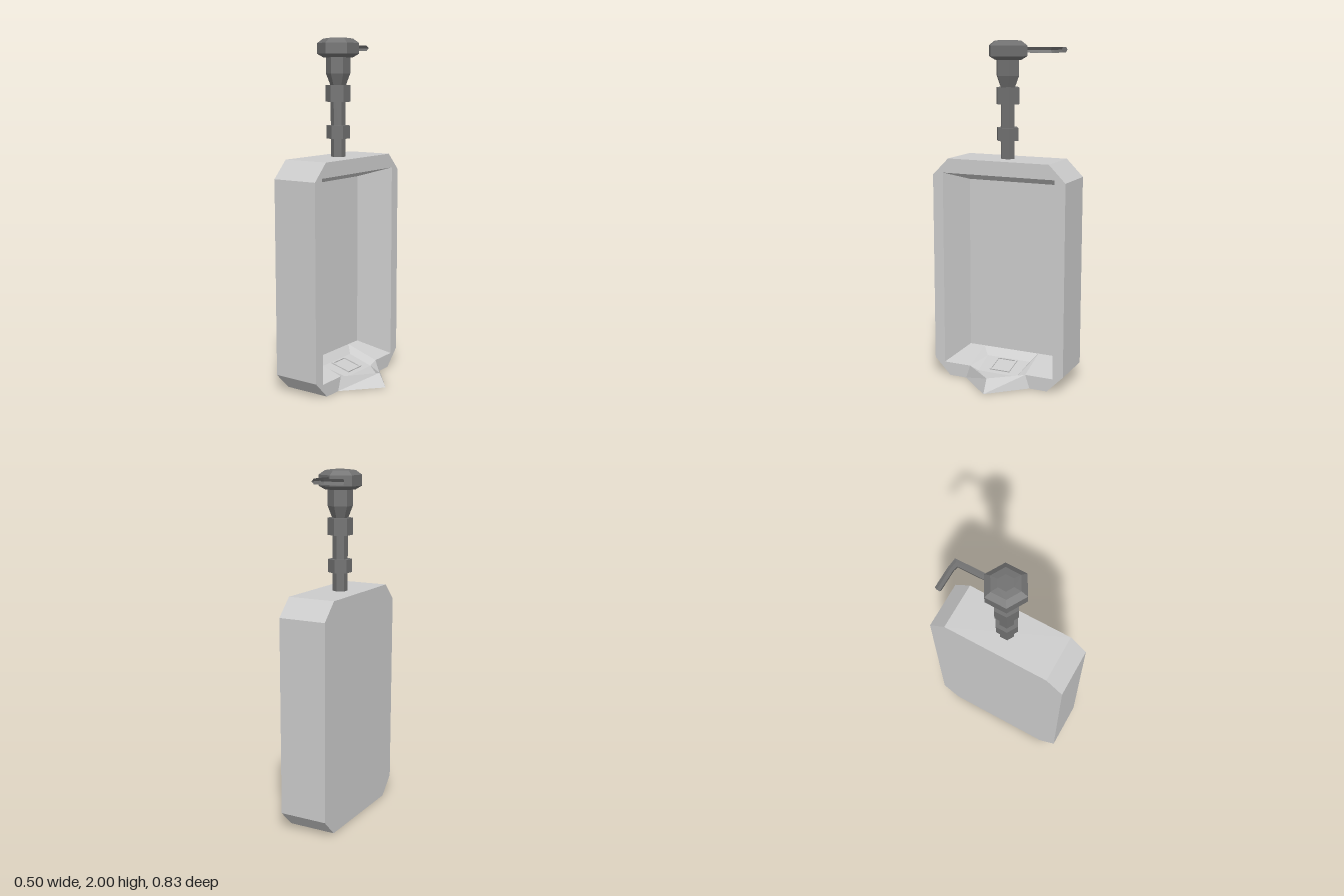
import * as THREE from 'three';

const porcelain = new THREE.MeshStandardMaterial({ color: 0xcccccc, flatShading: true, side: THREE.DoubleSide });
const metal = new THREE.MeshStandardMaterial({ color: 0x707070, flatShading: true });

// Flat polygons, each a list of Vector3 corners, counter-clockwise from outside
function polygons(list) {
  const pos = [];
  for (const p of list)
    for (let i = 1; i < p.length - 1; i++)
      for (const v of [p[0], p[i], p[i + 1]]) pos.push(v.x, v.y, v.z);
  const g = new THREE.BufferGeometry();
  g.setAttribute('position', new THREE.Float32BufferAttribute(pos, 3));
  g.computeVertexNormals();
  return g;
}

// Quads joining two cross-sections
function strip(a, b, closed = true) {
  const quads = [];
  for (let i = 0; i < a.length - (closed ? 0 : 1); i++) {
    const j = (i + 1) % a.length;
    quads.push([a[i], a[j], b[j], b[i]]);
  }
  return quads;
}

// Mirrors a half outline of [z, y], top to bottom, into a full loop
const mirrorLoop = (half) => [...half, ...half.slice().reverse().map(([z, y]) => [-z, y])];
const at = (x, loop) => loop.map(([z, y]) => new THREE.Vector3(x, y, z));

export function createModel() {
  const model = new THREE.Group();
  const add = (name, geometry, material, parent = model) => {
    const mesh = new THREE.Mesh(geometry, material);
    mesh.name = name;
    parent.add(mesh);
    return mesh;
  };
  const backX = -0.22, frontX = 0.06, wallX = -0.14;

  // Outer shell with chamfered corners
  const outline = mirrorLoop([[0.315, 1.325], [0.415, 1.225], [0.415, 0.1], [0.315, 0]]);
  const rear = at(backX, outline);
  add('bodyShell', polygons([...strip(rear, at(frontX, outline)), rear.slice().reverse()]), porcelain);

  // Front rim around the opening
  const opening = mirrorLoop([[0.35, 1.24], [0.35, 0.08], [0.18, 0.08], [0.125, 0.06]]);
  const toVec2 = (loop) => loop.map(([z, y]) => new THREE.Vector2(-z, y));
  const rim = new THREE.Shape(toVec2(outline));
  rim.holes.push(new THREE.Path(toVec2(opening)));
  add('frontRim', new THREE.ShapeGeometry(rim).rotateY(Math.PI / 2).translate(frontX, 0, 0), porcelain);

  // Tapered recess with a channel in its floor
  const inner = at(wallX, mirrorLoop([[0.275, 1.18], [0.275, 0.145], [0.18, 0.145], [0.14, 0.1]]));
  inner[3].x = inner[4].x = -0.1;
  add('recess', polygons([
    ...strip(at(frontX, opening), inner),
    [inner[0], inner[1], inner[6], inner[7]],
    [inner[2], inner[3], inner[4], inner[5]],
  ]), porcelain);

  // Pointed front lip
  const vee = (y, z, tip) => [[frontX, z], [tip, 0], [frontX, -z]].map(([x, w]) => new THREE.Vector3(x, y, w));
  const base = vee(0, 0.207, 0.25), edge = vee(0.08, 0.18, 0.207), floor = vee(0.06, 0.125, 0.195);
  add('frontLip', polygons([
    ...strip(base, edge, false), ...strip(edge, floor, false), floor, base.slice().reverse(),
  ]), porcelain);

  // Drain frame lying on the sloping channel floor
  const square = (s) => [[-s, -s], [s, -s], [s, s], [-s, s]].map(([x, y]) => new THREE.Vector2(x, y));
  const frame = new THREE.Shape(square(0.065));
  frame.holes.push(new THREE.Path(square(0.055)));
  const drain = add('drainFrame',
    new THREE.ExtrudeGeometry(frame, { depth: 0.008, bevelEnabled: false }).rotateX(-Math.PI / 2), porcelain);
  drain.position.set(-0.03, 0.081, 0);
  drain.rotation.z = -Math.atan2(0.04, 0.16);

  // Six-sided flush pipe, nuts and valve
  const plumbing = new THREE.Group();
  plumbing.name = 'plumbing';
  plumbing.position.x = -0.085;
  model.add(plumbing);
  const hex = (name, profile) => add(name,
    new THREE.LatheGeometry(profile.map(([r, y]) => new THREE.Vector2(r, y)), 6), metal, plumbing);
  hex('pipe', [[0, 1.31], [0.043, 1.31], [0.043, 1.75], [0, 1.75]]);
  hex('lowerNut', [[0, 1.43], [0.067, 1.43], [0.067, 1.505], [0, 1.505]]);
  hex('upperNut', [[0, 1.64], [0.072, 1.64], [0.072, 1.735], [0, 1.735]]);
  hex('valveBody', [[0, 1.735], [0.045, 1.735], [0.07, 1.8], [0.07, 1.9], [0, 1.9]]);
  hex('valveCap', [[0, 1.89], [0.085, 1.89], [0.12, 1.91], [0.12, 1.97], [0.085, 1.995], [0.045, 2], [0, 2]]);

  // Bent six-sided handle: stations are [x, z, spread in x, spread in z]
  const r = 0.018;
  const rings = [[0, -0.09, r, 0], [-0.003, -0.272, r, -r], [-0.045, -0.279, 0, -r], [-0.165, -0.28, 0, -r]]
    .map(([x, z, sx, sz]) => Array.from({ length: 6 }, (_, i) => {
      const a = (i * Math.PI) / 3;
      return new THREE.Vector3(x + sx * Math.cos(a), 1.945 + r * Math.sin(a), z + sz * Math.cos(a));
    }));
  const sides = rings.slice(1).flatMap((ring, i) => strip(rings[i], ring));
  add('handle', polygons([...sides, rings[3]].map((p) => p.slice().reverse()).map((p) => p.reverse())), metal, plumbing);

  return model;
}
